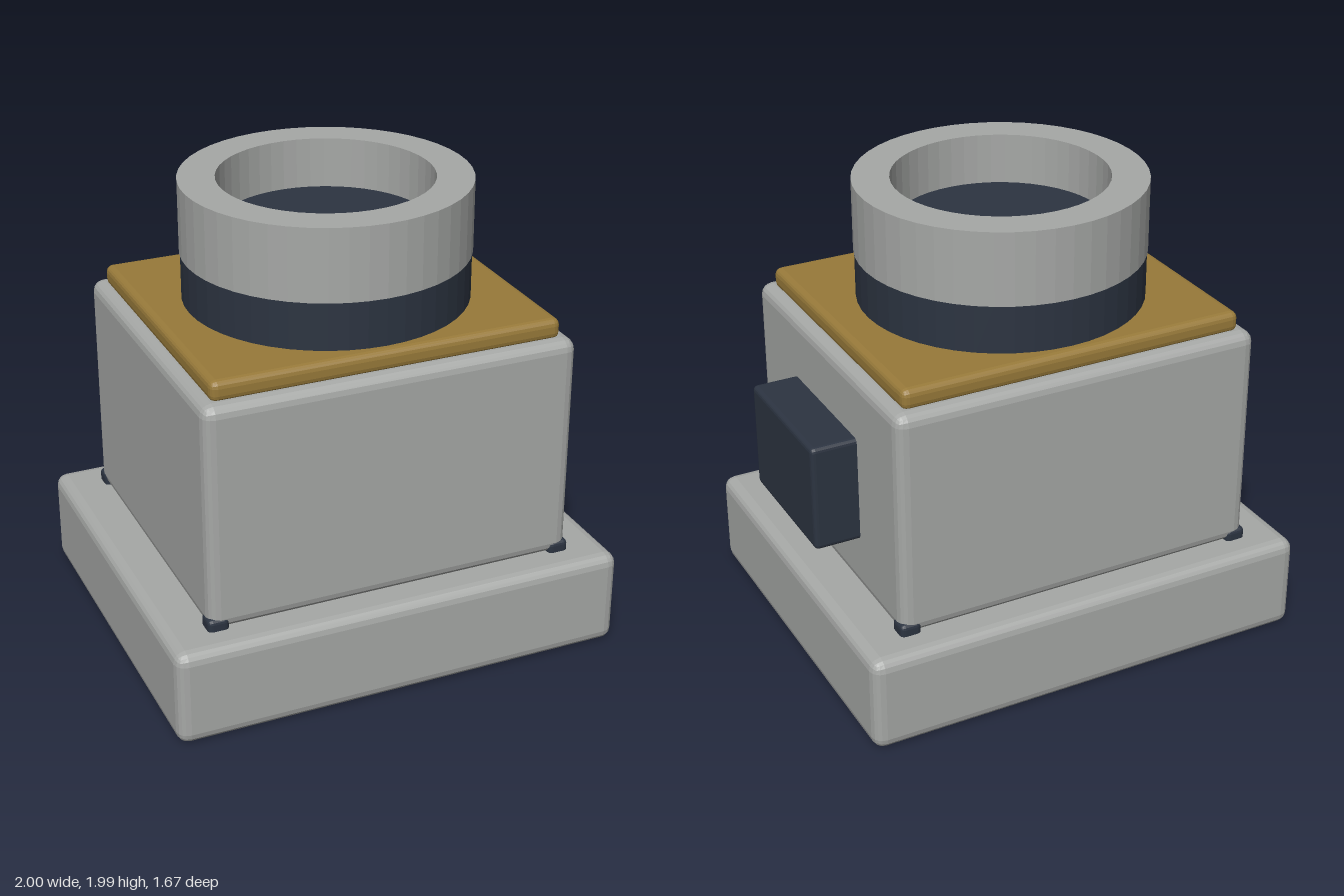
import * as THREE from 'three';
import { RoundedBoxGeometry } from 'three/addons/geometries/RoundedBoxGeometry.js';

const CENTER_X = -0.008;

export function createModel() {
  const model = new THREE.Group();
  const material = (name, color) => {
    const m = new THREE.MeshStandardMaterial({ color });
    m.name = name;
    return m;
  };
  const grey = material('lightGrey', 0xa6a8a6);
  const gold = material('ochre', 0x987a3a);
  const dark = material('darkSlate', 0x2c3441);

  const add = (name, geometry, mat, x, y, z) => {
    const mesh = new THREE.Mesh(geometry, mat);
    mesh.name = name;
    mesh.position.set(x, y, z);
    model.add(mesh);
  };

  // Faceted geometry: one normal per face
  const faceted = (geometry) => {
    const g = geometry.index ? geometry.toNonIndexed() : geometry;
    g.computeVertexNormals();
    return g;
  };

  // Box with two-step bevelled edges, standing on y0
  const block = (name, mat, w, h, d, bevel, x, y0, z = 0) =>
    add(name, faceted(new RoundedBoxGeometry(w, h, d, 2, bevel)), mat, x, y0 + h / 2, z);

  // Stacked housing
  block('base', grey, 1.984, 0.42, 1.67, 0.05, CENTER_X, 0);
  block('body', grey, 1.615, 0.985, 1.41, 0.05, CENTER_X, 0.415);
  block('topPlate', gold, 1.51, 0.09, 1.3, 0.03, CENTER_X, 1.388);

  // Side box on the left (+x) face
  block('sideBox', dark, 0.22, 0.465, 0.63, 0.02, 0.885, 0.66);

  // Small feet under the body corners
  for (const sx of [-1, 1]) {
    for (const sz of [-1, 1]) {
      block('cornerFoot', dark, 0.09, 0.08, 0.09, 0.02, CENTER_X + sx * 0.768, 0.39, sz * 0.664);
    }
  }

  // Round collar, open ring and the disc recessed inside it
  add('collar', faceted(new THREE.CylinderGeometry(0.602, 0.602, 0.215, 48)), dark, CENTER_X, 1.5725, 0);
  const ringProfile = [
    [0.606, 1.68], [0.606, 1.99], [0.45, 1.99], [0.45, 1.68], [0.606, 1.68],
  ].map(([r, y]) => new THREE.Vector2(r, y));
  add('ring', faceted(new THREE.LatheGeometry(ringProfile, 48)), grey, CENTER_X, 0, 0);
  add('recessedDisc', faceted(new THREE.CylinderGeometry(0.449, 0.449, 0.1, 48)), dark, CENTER_X, 1.725, 0);

  return model;
}
